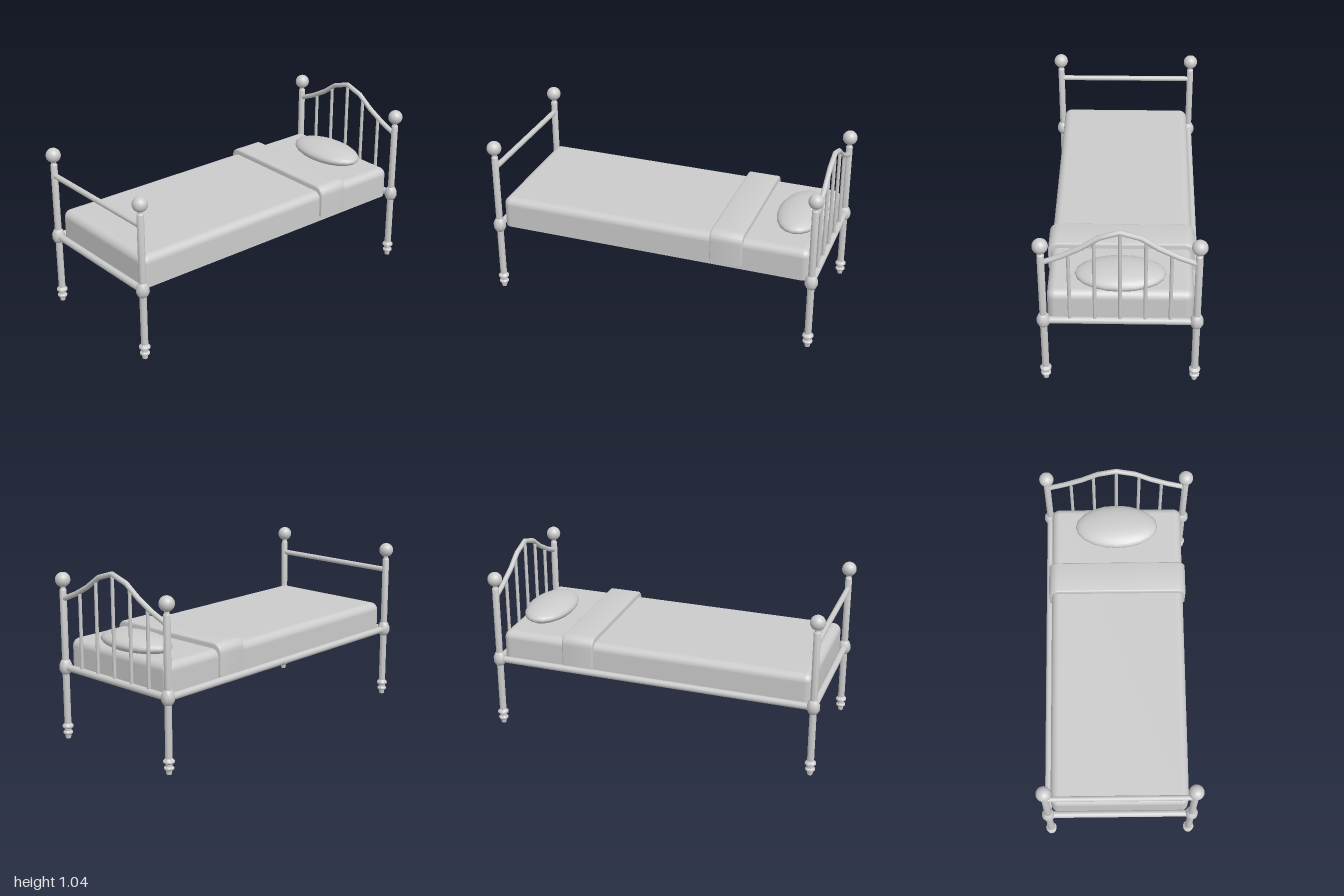
import * as THREE from 'three';
import { RoundedBoxGeometry } from 'three/addons/geometries/RoundedBoxGeometry.js';
import { toCreasedNormals } from 'three/addons/utils/BufferGeometryUtils.js';

const POST_X = 0.957, POST_Z = 0.416, RAIL_Y = 0.427;
const material = new THREE.MeshStandardMaterial({ color: 0xcccccc });

function part(name, geometry, parent) {
  const mesh = new THREE.Mesh(geometry, material);
  mesh.name = name;
  parent.add(mesh);
  return mesh;
}

// Straight round bar between two points
function bar(name, from, to, radius, parent) {
  const a = new THREE.Vector3(...from), b = new THREE.Vector3(...to);
  const mesh = part(name, new THREE.CylinderGeometry(radius, radius, a.distanceTo(b), 16), parent);
  mesh.position.copy(a).lerp(b, 0.5);
  mesh.quaternion.setFromUnitVectors(new THREE.Vector3(0, 1, 0), b.sub(a).normalize());
  return mesh;
}

// Turned post: ringed foot, rail collar, narrow neck
function postGeometry() {
  const profile = [
    [0, 0], [0.015, 0], [0.018, 0.022], [0.028, 0.03], [0.028, 0.038], [0.02, 0.046],
    [0.02, 0.06], [0.032, 0.068], [0.032, 0.076], [0.022, 0.088], [0.02, 0.09],
    [0.02, 0.388], [0.028, 0.395], [0.037, 0.415], [0.037, 0.44], [0.028, 0.463], [0.02, 0.472],
    [0.02, 0.878], [0.016, 0.884], [0.014, 0.886], [0.014, 0.91], [0, 0.91],
  ].map(([r, y]) => new THREE.Vector2(r, y));
  return toCreasedNormals(new THREE.LatheGeometry(profile, 20), 0.6);
}

// Mattress: rounded top and corners, lower rounding pressed into a flat underside
function mattressGeometry() {
  const bottom = 0.415, top = 0.6, r = 0.045;
  const height = top - bottom + r;
  const g = new RoundedBoxGeometry(1.876, height, 0.794, 5, r);
  g.translate(0, top - height / 2, 0);
  const p = g.attributes.position, n = g.attributes.normal;
  for (let i = 0; i < p.count; i += 3) {
    const corners = [i, i + 1, i + 2];
    const under = corners.every((k) => p.getY(k) < bottom + 1e-4);
    for (const k of corners) {
      p.setY(k, Math.max(bottom, p.getY(k)));
      if (under) n.setXYZ(k, 0, -1, 0);
    }
  }
  return g;
}

// Folded blanket draped across the mattress
function blanketGeometry() {
  const w = 0.414, low = 0.445, high = 0.632, r = 0.055, bevel = 0.01;
  const s = new THREE.Shape();
  s.moveTo(-w, low);
  s.lineTo(w, low);
  s.lineTo(w, high - r);
  s.absarc(w - r, high - r, r, 0, Math.PI / 2, false);
  s.lineTo(-w + r, high);
  s.absarc(-w + r, high - r, r, Math.PI / 2, Math.PI, false);
  s.closePath();
  const depth = 0.193 - 2 * bevel;
  const g = new THREE.ExtrudeGeometry(s, {
    depth, curveSegments: 8, bevelEnabled: true,
    bevelThickness: bevel, bevelSize: bevel, bevelOffset: -bevel, bevelSegments: 3,
  });
  g.translate(0, 0, -depth / 2).rotateY(Math.PI / 2);
  return toCreasedNormals(g, 0.7);
}

export function createModel() {
  const bed = new THREE.Group();
  bed.name = 'bed';

  // Four posts with ball finials
  const post = postGeometry();
  const ball = new THREE.SphereGeometry(0.043, 24, 16);
  for (const sx of [-1, 1]) {
    for (const sz of [-1, 1]) {
      const group = new THREE.Group();
      group.name = (sx > 0 ? 'head' : 'foot') + (sz > 0 ? 'FrontPost' : 'BackPost');
      group.position.set(sx * POST_X, 0, sz * POST_Z);
      part('post', post, group);
      part('finial', ball, group).position.y = 0.937;
      bed.add(group);
    }
    // Lower rail at each end
    bar(sx > 0 ? 'headRail' : 'footRail',
      [sx * POST_X, RAIL_Y, -POST_Z], [sx * POST_X, RAIL_Y, POST_Z], 0.02, bed);
  }

  // Single side rail along the back and upper bar of the footboard
  bar('backSideRail', [-POST_X, RAIL_Y, -POST_Z], [POST_X, RAIL_Y, -POST_Z], 0.02, bed);
  bar('footboardBar', [-POST_X, 0.812, -POST_Z], [-POST_X, 0.812, POST_Z], 0.016, bed);

  // Headboard: arched top tube and five spindles
  const headboard = new THREE.Group();
  headboard.name = 'headboard';
  bed.add(headboard);
  const half = [[0.415, 0.826], [0.31, 0.87], [0.2, 0.93], [0.1, 1.0]];
  const points = [...half, [0, 1.03], ...half.map(([z, y]) => [-z, y]).reverse()]
    .map(([z, y]) => new THREE.Vector3(POST_X, y, z));
  part('headboardArch',
    new THREE.TubeGeometry(new THREE.CatmullRomCurve3(points), 8, 0.015, 12), headboard);
  for (const [z, top] of [[-0.272, 0.885], [-0.136, 0.972], [0, 1.025], [0.136, 0.972], [0.272, 0.885]]) {
    bar('spindle', [POST_X, RAIL_Y, z], [POST_X, top, z], 0.01, headboard);
  }

  // Bedding
  part('mattress', mattressGeometry(), bed);
  part('blanket', blanketGeometry(), bed).position.x = 0.455;
  const pillow = part('pillow', new THREE.SphereGeometry(1, 20, 14), bed);
  pillow.scale.set(0.142, 0.055, 0.25);
  pillow.position.set(0.793, 0.625, 0);

  return bed;
}
